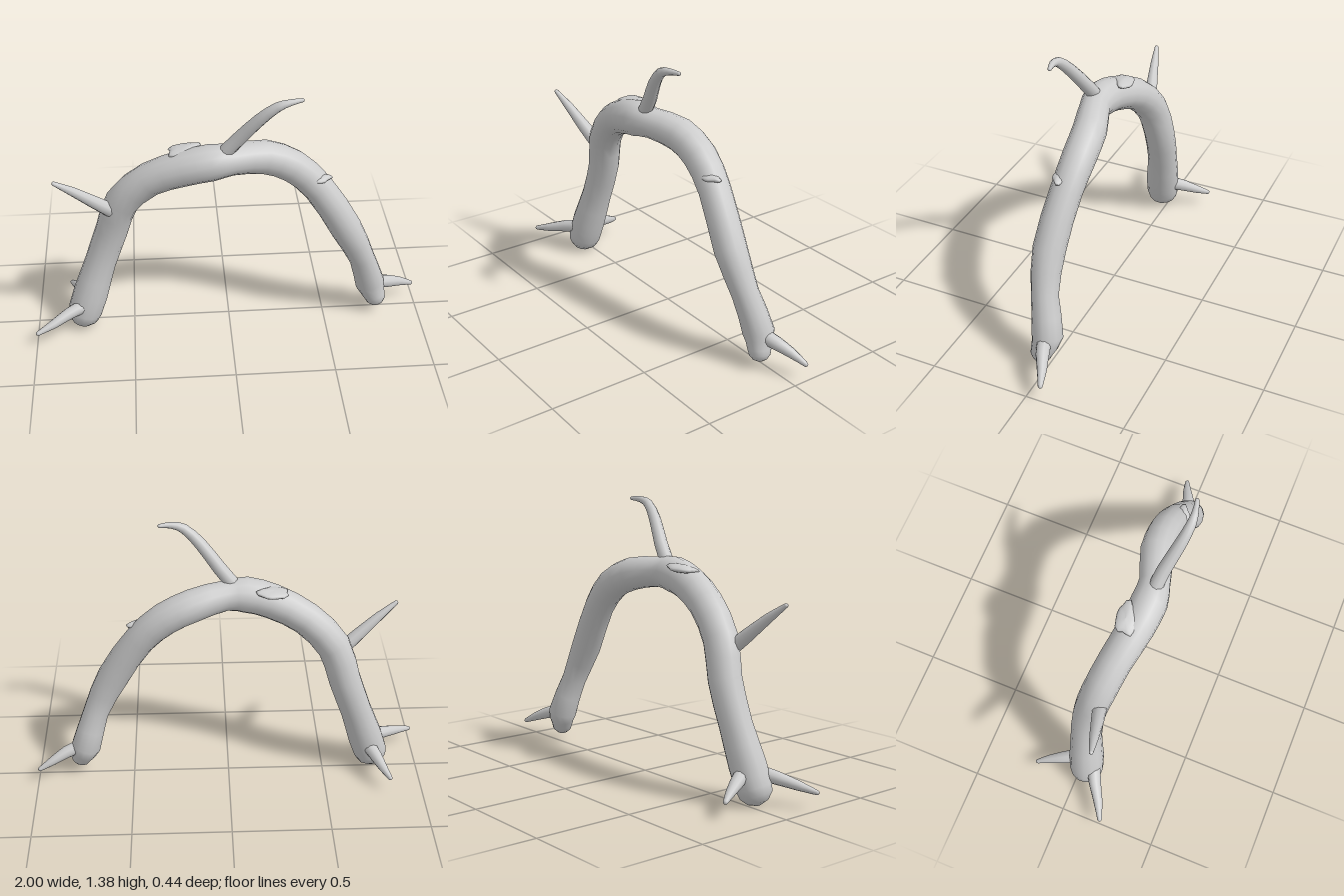
import * as THREE from 'three';

// Round-ended limb through [x, y, z, radius] stations, as cross-section loops
function limbGeometry(stations, sides, perSpan) {
  const curve = new THREE.CatmullRomCurve3(stations.map(s => new THREE.Vector3(s[0], s[1], s[2])));
  const spans = stations.length - 1, steps = spans * perSpan;
  const rings = [];
  for (let i = 0; i <= steps; i++) {
    const t = i / steps, k = Math.min(Math.floor(t * spans), spans - 1), f = t * spans - k;
    rings.push({
      p: curve.getPoint(t), t: curve.getTangent(t),
      r: THREE.MathUtils.lerp(stations[k][3], stations[k + 1][3], f),
    });
  }
  // hemispherical caps
  const cap = (ring, sign) => [0.45, 0.95, 1.45].map(a => ({
    p: ring.p.clone().addScaledVector(ring.t, sign * ring.r * Math.sin(a)),
    t: ring.t, r: ring.r * Math.cos(a),
  }));
  const all = [...cap(rings[0], -1).reverse(), ...rings, ...cap(rings[steps], 1)];

  const pos = [], index = [];
  const n = new THREE.Vector3(0, 0, 1), b = new THREE.Vector3();
  for (const { p, t, r } of all) {
    n.addScaledVector(t, -n.dot(t)).normalize();
    b.crossVectors(t, n);
    for (let j = 0; j < sides; j++) {
      const a = j / sides * Math.PI * 2, c = r * Math.cos(a), s = r * Math.sin(a);
      pos.push(p.x + n.x * c + b.x * s, p.y + n.y * c + b.y * s, p.z + n.z * c + b.z * s);
    }
  }
  for (let i = 0; i < all.length - 1; i++) {
    for (let j = 0; j < sides; j++) {
      const a = i * sides + j, d = i * sides + (j + 1) % sides;
      index.push(a, d, a + sides, d, d + sides, a + sides);
    }
  }
  // close both tips
  const last = (all.length - 1) * sides;
  for (let j = 1; j < sides - 1; j++) index.push(0, j + 1, j, last, last + j, last + j + 1);
  const g = new THREE.BufferGeometry();
  g.setAttribute('position', new THREE.Float32BufferAttribute(pos, 3));
  g.setIndex(index);
  g.computeVertexNormals();
  return g;
}

// Ragged flat bark scab
function scabGeometry(rx, ry, rz) {
  const g = new THREE.SphereGeometry(1, 16, 8);
  const p = g.attributes.position;
  for (let i = 0; i < p.count; i++) {
    const x = p.getX(i), y = p.getY(i), z = p.getZ(i), a = Math.atan2(z, x);
    const k = 1 + 0.12 * Math.sin(3 * a + 1) + 0.08 * Math.sin(5 * a);
    p.setXYZ(i, x * k * rx, (y + 0.2 * Math.sin(2 * a) * Math.hypot(x, z)) * ry, z * k * rz);
  }
  g.computeVertexNormals();
  return g;
}

export function createModel() {
  const model = new THREE.Group();
  const bark = new THREE.MeshStandardMaterial({ color: 0xcccccc });
  bark.name = 'pale grey bark';
  const add = (name, geometry) => {
    const mesh = new THREE.Mesh(geometry, bark);
    mesh.name = name;
    model.add(mesh);
    return mesh;
  };

  // Arched trunk
  add('archedTrunk', limbGeometry([
    [-0.755, 0.095, 0.035, 0.088],
    [-0.72, 0.2, 0.025, 0.09],
    [-0.66, 0.38, 0.005, 0.08],
    [-0.59, 0.58, 0.0, 0.082],
    [-0.53, 0.76, 0.025, 0.085],
    [-0.39, 0.905, 0.06, 0.084],
    [-0.22, 0.985, 0.1, 0.088],
    [-0.09, 1.018, 0.113, 0.09],
    [0.01, 1.022, 0.1, 0.076],
    [0.17, 1.0, 0.05, 0.084],
    [0.31, 0.935, 0.038, 0.083],
    [0.44, 0.81, 0.048, 0.078],
    [0.59, 0.57, 0.068, 0.08],
    [0.685, 0.37, 0.05, 0.066],
    [0.745, 0.18, 0.012, 0.077],
    [0.775, 0.1, 0.028, 0.056],
  ], 14, 2));

  // Side branches
  const branches = {
    topBranch: [[-0.04, 1.06, 0.115, 0.036], [0.04, 1.16, 0.135, 0.034], [0.13, 1.275, 0.17, 0.03],
      [0.21, 1.35, 0.19, 0.024], [0.27, 1.37, 0.188, 0.016], [0.325, 1.373, 0.175, 0.01]],
    upperRightBranch: [[-0.59, 0.735, 0.06, 0.036], [-0.66, 0.795, 0.08, 0.032],
      [-0.76, 0.88, 0.107, 0.023], [-0.845, 0.945, 0.13, 0.011]],
    lowerFrontBranch: [[-0.76, 0.155, 0.08, 0.036], [-0.83, 0.14, 0.115, 0.032],
      [-0.91, 0.115, 0.165, 0.024], [-0.99, 0.092, 0.207, 0.012]],
    lowerBackBranch: [[-0.74, 0.16, -0.03, 0.036], [-0.77, 0.14, -0.09, 0.032],
      [-0.8, 0.115, -0.155, 0.023], [-0.83, 0.092, -0.212, 0.012]],
    lowerLeftBranch: [[0.78, 0.175, 0.01, 0.036], [0.85, 0.155, -0.015, 0.033],
      [0.92, 0.125, -0.047, 0.024], [0.987, 0.092, -0.072, 0.012]],
  };
  for (const [name, stations] of Object.entries(branches)) add(name, limbGeometry(stations, 10, 2));

  // Bark scabs on the upper side
  const scab = add('topScab', scabGeometry(0.082, 0.018, 0.05));
  scab.position.set(-0.225, 1.062, 0.05);
  scab.rotation.set(-0.1, 0.35, 0.15);
  const smallScab = add('sideScab', scabGeometry(0.05, 0.016, 0.034));
  smallScab.position.set(0.45, 0.882, 0.078);
  smallScab.rotation.set(0.1, 0.4, -0.1);

  return model;
}
